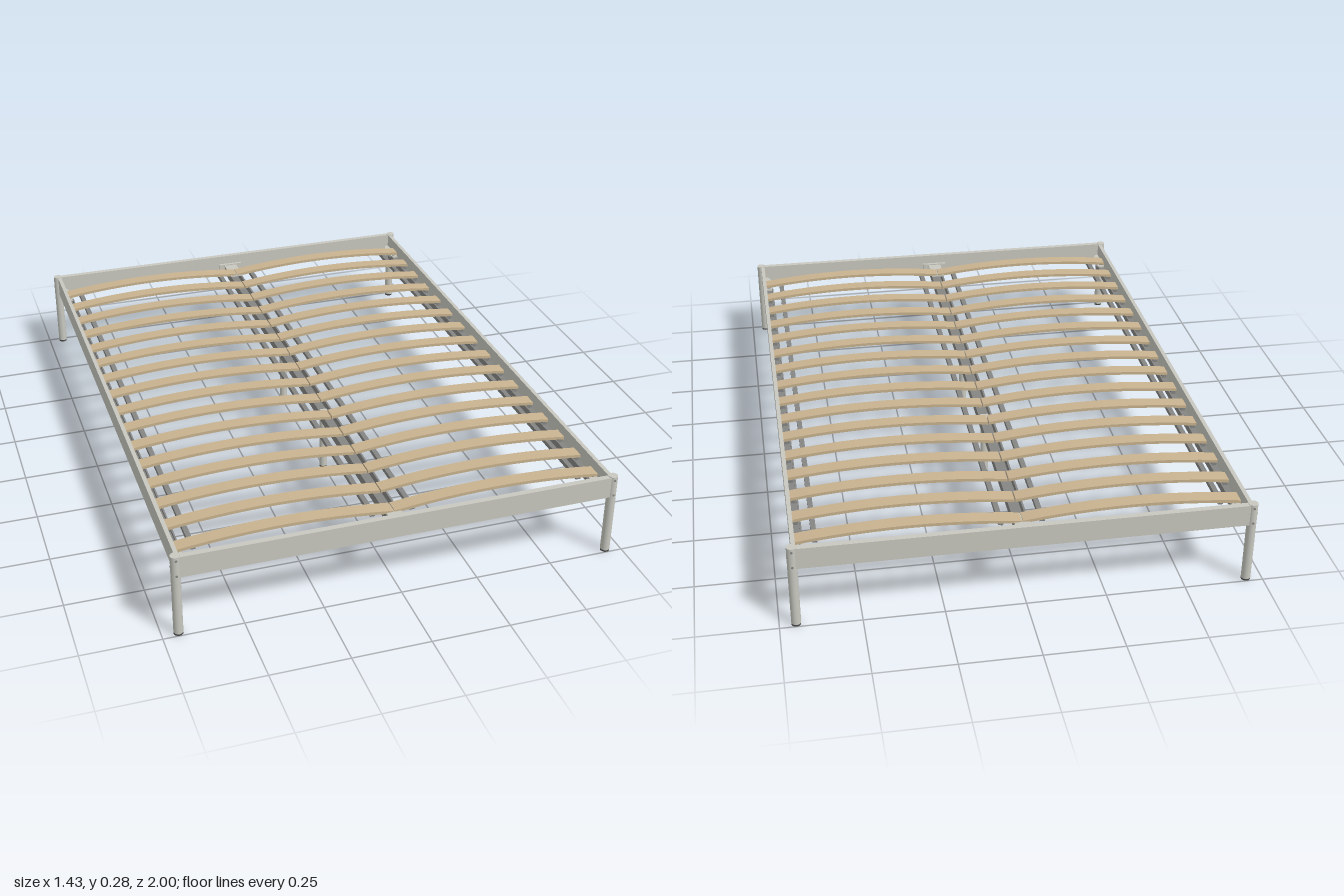
import * as THREE from 'three';

export function createModel() {
  const bed = new THREE.Group();
  bed.name = 'bedFrame';

  const mat = (name, color) => {
    const m = new THREE.MeshStandardMaterial({ color });
    m.name = name;
    return m;
  };
  const paint = mat('lightGreyPaint', 0xc8c8c0);
  const steel = mat('darkSteel', 0x858584);
  const wood = mat('birchWood', 0xc8b28f);
  const rubber = mat('darkFoot', 0x4a4a4a);

  const add = (name, geometry, material, x = 0, y = 0, z = 0) => {
    const mesh = new THREE.Mesh(geometry, material);
    mesh.name = name;
    mesh.position.set(x, y, z);
    bed.add(mesh);
    return mesh;
  };
  // Box given by its limits on each axis
  const box = (name, material, x0, x1, y0, y1, z0, z1) =>
    add(name, new THREE.BoxGeometry(Math.abs(x1 - x0), y1 - y0, Math.abs(z1 - z0)), material,
      (x0 + x1) / 2, (y0 + y1) / 2, (z0 + z1) / 2);
  // Upright round tube from y0 to y1
  const post = (name, material, r, y0, y1, x, z) =>
    add(name, new THREE.CylinderGeometry(r, r, y1 - y0, 24), material, x, (y0 + y1) / 2, z);

  // End rails, side rails and the ledges inside them
  for (const s of [-1, 1]) {
    box('endRail', paint, -0.69, 0.69, 0.207, 0.278, s * 0.977, s * 0.996);
    box('sideRail', paint, s * 0.686, s * 0.699, 0.207, 0.278, -0.975, 0.975);
    box('sideLedge', steel, s * 0.66, s * 0.686, 0.209, 0.222, -0.9, 0.9);
    box('ledgeLip', steel, s * 0.66, s * 0.665, 0.222, 0.232, -0.87, 0.87);
  }

  // Corner posts with feet, bolts and gusset plates
  const gusset = new THREE.Shape([[0, 0], [0.01, 0], [0.025, 0.03], [0.025, 0.115], [0, 0.115]]
    .map(([x, y]) => new THREE.Vector2(x, y)));
  const gussetGeo = new THREE.ExtrudeGeometry(gusset, { depth: 0.006, bevelEnabled: false });
  gussetGeo.rotateX(Math.PI / 2);
  const bolt = new THREE.CylinderGeometry(0.004, 0.004, 0.003, 10);
  for (const sx of [-1, 1]) {
    for (const sz of [-1, 1]) {
      post('cornerPost', paint, 0.015, 0.006, 0.28, sx * 0.699, sz * 0.985);
      post('foot', rubber, 0.0145, 0, 0.006, sx * 0.699, sz * 0.985);
      for (const y of [0.215, 0.268])
        add('postBolt', bolt, steel, sx * 0.699, y, sz * 0.999).rotation.x = Math.PI / 2;
      add('sideBolt', bolt, steel, sx * 0.713, 0.243, sz * 0.985).rotation.z = Math.PI / 2;
      // Plate turned half round so each chamfer points to the inside corner
      const g = add('cornerGusset', gussetGeo, paint, sx * 0.686, 0.232, sz * 0.975);
      g.scale.set(-sx, 1, -sz);
    }
  }

  // Centre beam: an upturned channel with light end brackets
  box('beamBase', steel, -0.023, 0.023, 0.206, 0.212, -0.977, 0.977);
  for (const s of [-1, 1]) {
    box('beamSide', steel, s * 0.017, s * 0.023, 0.212, 0.235, -0.977, 0.977);
    box('beamEndPlate', paint, -0.024, 0.024, 0.235, 0.241, s * 0.865, s * 0.977);
    box('beamHook', paint, -0.045, 0.045, 0.212, 0.245, s * 0.966, s * 0.977);
  }

  // Middle legs with their fixing plates
  for (const z of [-0.235, 0.235]) {
    post('middleLeg', paint, 0.013, 0.006, 0.208, 0, z);
    post('middleFoot', rubber, 0.0125, 0, 0.006, 0, z);
    box('middleLegPlate', paint, -0.017, 0.017, 0.212, 0.216, z - 0.02, z + 0.02);
  }

  // Long bars that carry the slats
  for (const x of [-0.626, -0.064, 0.064, 0.626])
    box('slatBar', steel, x - 0.008, x + 0.008, 0.228, 0.242, -0.9, 0.9);

  // Arched slats, one for each half of the bed
  const span = 0.684, thick = 0.01, steps = 12;
  const arch = (t) => 0.022 * (1 - (2 * t - 1) ** 2);
  const outline = [];
  for (let i = 0; i <= steps; i++)
    outline.push(new THREE.Vector2(span * i / steps, arch(i / steps)));
  for (let i = steps; i >= 0; i--)
    outline.push(new THREE.Vector2(span * i / steps, arch(i / steps) + thick));
  const slatGeo = new THREE.ExtrudeGeometry(new THREE.Shape(outline), { depth: 0.047, bevelEnabled: false });
  slatGeo.translate(0, 0, -0.0235);

  for (let i = 0; i < 16; i++) {
    const z = -0.89 + i * 1.78 / 15;
    for (const x of [-0.686, 0.002]) add('slat', slatGeo, wood, x, 0.235, z);
    // Slat supports on the ledges
    for (const s of [-1, 1])
      box('slatHolder', steel, s * 0.668, s * 0.684, 0.222, 0.235, z - 0.018, z + 0.018);
  }

  return bed;
}
